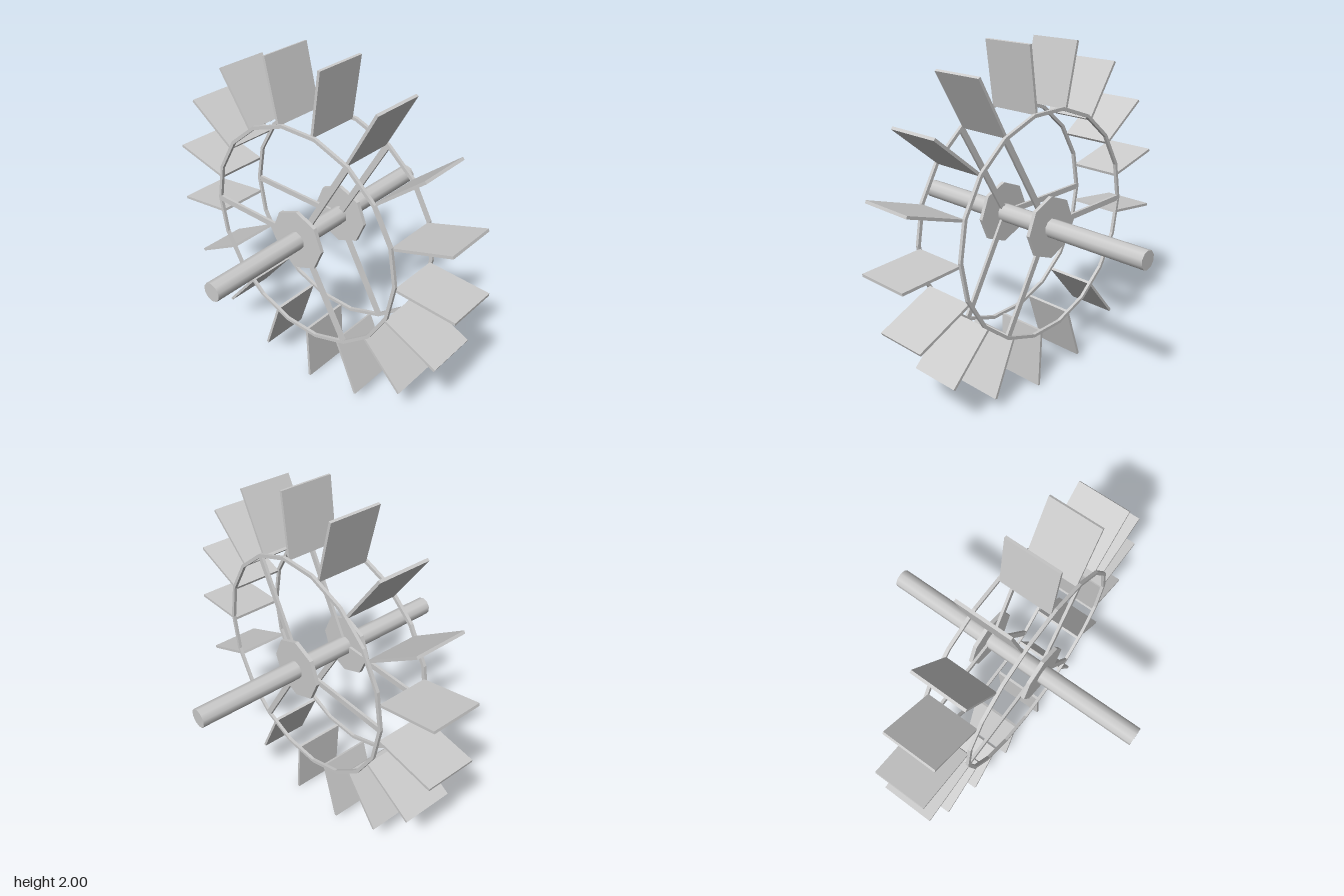
import * as THREE from 'three';

const CX = -0.004, CY = 1.004; // wheel centre
const RIM_SIDES = 18, PADDLES = 17;

export function createModel() {
  const model = new THREE.Group();
  model.name = 'paddleWheel';
  const wheel = new THREE.Group();
  wheel.name = 'wheel';
  wheel.position.set(CX, CY, 0);
  model.add(wheel);

  const flat = new THREE.MeshStandardMaterial({ color: 0xcccccc, flatShading: true });
  const smooth = new THREE.MeshStandardMaterial({ color: 0xcccccc });

  const add = (name, geometry, material = flat) => {
    const mesh = new THREE.Mesh(geometry, material);
    mesh.name = name;
    wheel.add(mesh);
    return mesh;
  };

  const polygon = (radius, sides) =>
    Array.from({ length: sides }, (_, i) => {
      const a = (i / sides) * Math.PI * 2;
      return new THREE.Vector2(radius * Math.cos(a), radius * Math.sin(a));
    });

  // A bar lying along the radius at a given angle
  const radialBar = (name, angle, r0, r1, thickness, depth, z) => {
    const geometry = new THREE.BoxGeometry(r1 - r0, thickness, depth);
    geometry.translate((r0 + r1) / 2, 0, 0);
    const bar = add(name, geometry);
    bar.rotation.z = angle;
    bar.position.z = z;
  };

  // Axle through both hubs
  add('axle', new THREE.CylinderGeometry(0.054, 0.054, 1.61, 10).rotateX(Math.PI / 2), smooth);

  // Faceted ring
  const rimShape = new THREE.Shape(polygon(0.656, RIM_SIDES));
  rimShape.holes.push(new THREE.Path(polygon(0.637, RIM_SIDES).reverse()));
  const rimDepth = 0.018;
  const rimGeometry = new THREE.ExtrudeGeometry(rimShape, { depth: rimDepth, bevelEnabled: false });
  rimGeometry.translate(0, 0, -rimDepth / 2);

  // Front and back frames: rim, three spokes and an octagonal hub plate
  for (const [label, z, out] of [['front', 0.168, 1], ['back', -0.151, -1]]) {
    add(label + 'Rim', rimGeometry).position.z = z;
    for (let i = 0; i < 3; i++) {
      radialBar(label + 'Spoke', Math.PI / 3 + (i * Math.PI * 2) / 3, 0.03, 0.645, 0.034, 0.016, z);
    }
    const hub = new THREE.CylinderGeometry(0.18, 0.18, 0.022, 8).rotateX(Math.PI / 2);
    add(label + 'Hub', hub).position.z = z + out * 0.019;
  }

  // Flat paddles around the rims
  for (let i = 0; i < PADDLES; i++) {
    const angle = THREE.MathUtils.degToRad(-2.3) + (i / PADDLES) * Math.PI * 2;
    radialBar('paddle', angle, 0.642, 1.004, 0.016, 0.306, 0.009);
  }

  return model;
}
